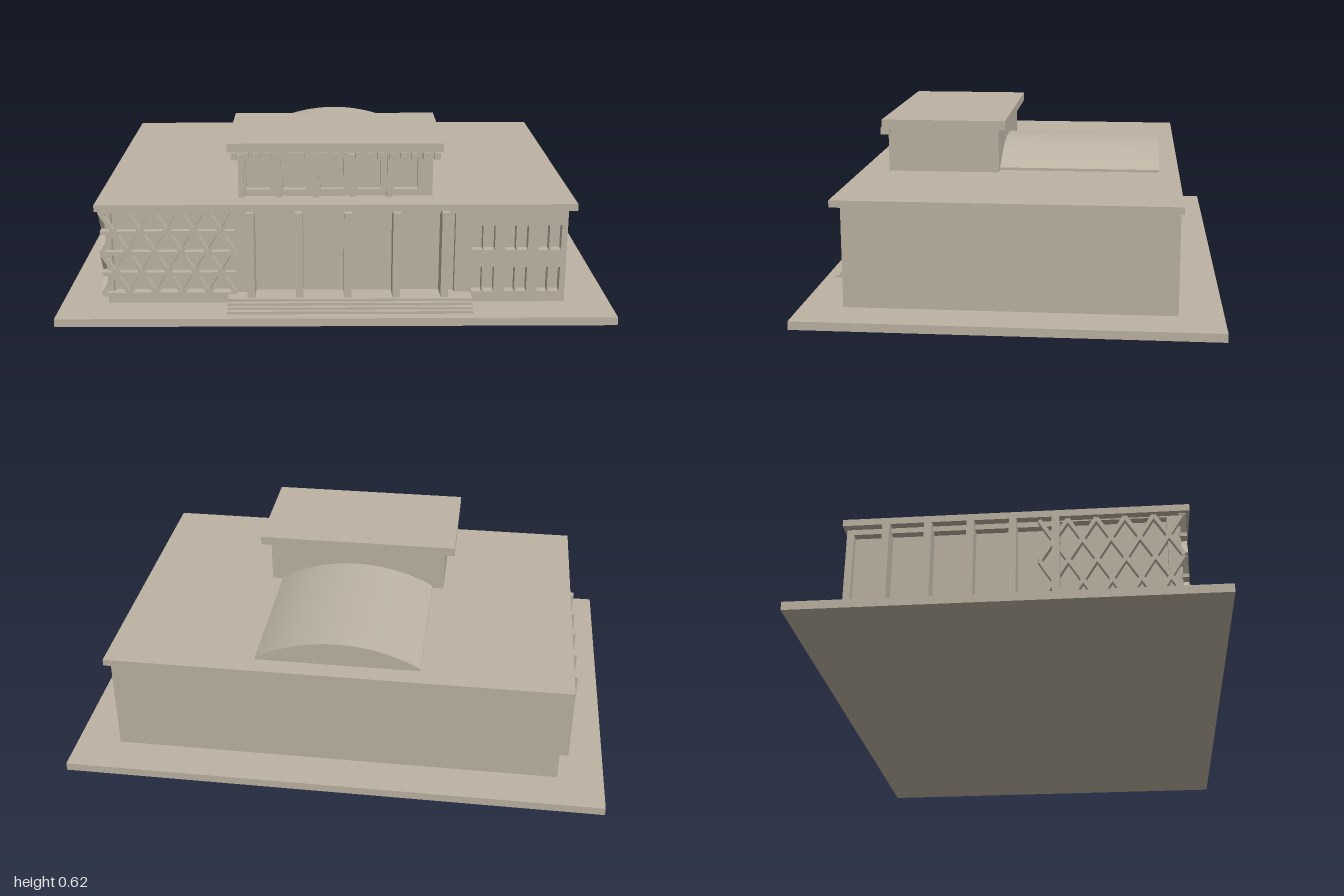
import * as THREE from 'three';

const stone = new THREE.MeshStandardMaterial({ color: 0xbcb3a3 });
stone.name = 'warm stone';

function add(parent, name, geometry) {
  const mesh = new THREE.Mesh(geometry, stone);
  mesh.name = name;
  parent.add(mesh);
  return mesh;
}

// Box given by its limits on each axis
function block(parent, name, x0, x1, y0, y1, z0, z1) {
  const mesh = add(parent, name, new THREE.BoxGeometry(x1 - x0, y1 - y0, z1 - z0));
  mesh.position.set((x0 + x1) / 2, (y0 + y1) / 2, (z0 + z1) / 2);
  return mesh;
}

// Wall slab with rectangular openings [x0, x1, y0, y1]
function piercedWall(parent, name, [x0, x1, y0, y1], openings, depth) {
  const corners = (a, b, c, d) => [[a, c], [b, c], [b, d], [a, d]].map(p => new THREE.Vector2(...p));
  const shape = new THREE.Shape(corners(x0, x1, y0, y1));
  for (const o of openings) shape.holes.push(new THREE.Path(corners(...o)));
  return add(parent, name, new THREE.ExtrudeGeometry(shape, { depth, bevelEnabled: false }));
}

// Lattice screen of mirrored zigzags, in the xy plane
function lattice(name, x0, x1, y0, y1, cols, rows, horizontals) {
  const screen = new THREE.Group();
  screen.name = name;
  const w = (x1 - x0) / (cols * 2), h = (y1 - y0) / rows;
  const bar = (ax, ay, bx, by) => {
    const m = add(screen, 'latticeBar', new THREE.BoxGeometry(Math.hypot(bx - ax, by - ay), 0.014, 0.024));
    m.position.set((ax + bx) / 2, (ay + by) / 2, 0);
    m.rotation.z = Math.atan2(by - ay, bx - ax);
  };
  for (let r = 0; r < rows; r++) {
    for (let k = 0; k < cols * 2; k++) {
      const up = (k + r) % 2;
      bar(x0 + k * w, y0 + (r + up) * h, x0 + (k + 1) * w, y0 + (r + 1 - up) * h);
    }
  }
  if (horizontals) for (let r = 0; r <= rows; r++) bar(x0, y0 + r * h, x1, y0 + r * h);
  return screen;
}

export function createModel() {
  const model = new THREE.Group();
  model.name = 'publicBuilding';

  // Ground slab, main hall and flat roof
  block(model, 'groundSlab', -1, 1, 0, 0.03, -0.73, 0.73);
  block(model, 'hallCore', -0.8, 0.835, 0.03, 0.39, -0.575, 0.545);
  block(model, 'mainRoof', -0.86, 0.86, 0.39, 0.415, -0.585, 0.613);

  // Front wall: screen bay, portico opening and paired windows
  const openings = [[-0.81, -0.37, 0.07, 0.385], [-0.295, 0.43, 0.065, 0.37]];
  for (let i = 0; i < 3; i++) {
    for (const dx of [0, 0.044]) {
      for (const y of [0.07, 0.23]) {
        const x = 0.493 + i * 0.12 + dx;
        openings.push([x, x + 0.037, y, y + 0.095]);
      }
    }
  }
  const front = piercedWall(model, 'frontWall', [-0.83, 0.835, 0.03, 0.39], openings, 0.035);
  front.position.z = 0.545;

  // Side wall with a long shallow opening behind the fins
  const side = piercedWall(model, 'sideWall', [-0.575, 0.545, 0.03, 0.39],
    [[-0.55, 0.14, 0.06, 0.37], [0.17, 0.535, 0.07, 0.385]], 0.03);
  side.rotation.y = -Math.PI / 2;
  side.position.x = -0.8;

  // Lattice screens meeting at the front corner
  const frontScreen = lattice('frontScreen', -0.845, -0.365, 0.07, 0.385, 5, 4, true);
  frontScreen.position.z = 0.588;
  const sideScreen = lattice('sideScreen', 0.1, 0.588, 0.07, 0.385, 5, 4, false);
  sideScreen.rotation.y = -Math.PI / 2;
  sideScreen.position.x = -0.838;
  model.add(frontScreen, sideScreen);

  // Portico columns and side fins
  for (let i = 0; i < 5; i++) {
    const x = -0.32 + i * 0.174;
    block(model, 'porticoColumn', x, x + 0.027, 0.03, 0.39, 0.545, 0.635);
    const z = -0.442 + i * 0.1465;
    block(model, 'sideFin', -0.875, -0.8, 0.03, 0.39, z, z + 0.025);
  }

  // Entrance landing and steps
  block(model, 'landing', -0.295, 0.43, 0.03, 0.07, 0.58, 0.633);
  for (let i = 0; i < 4; i++) {
    block(model, 'step', -0.39, 0.49, 0.03 + i * 0.01, 0.04 + i * 0.01, 0.58, 0.692 - i * 0.015);
  }

  // Upper storey with five recessed windows
  block(model, 'towerCore', -0.35, 0.35, 0.415, 0.585, 0.09, 0.485);
  const bays = [];
  for (let i = 0; i < 5; i++) {
    const x = -0.325 + i * 0.134;
    bays.push([x, x + 0.085, 0.44, 0.558]);
    block(model, 'towerFin', x - 0.027, x - 0.007, 0.415, 0.575, 0.505, 0.525);
  }
  const towerFront = piercedWall(model, 'towerFront', [-0.35, 0.35, 0.415, 0.585], bays, 0.022);
  towerFront.position.z = 0.485;
  block(model, 'towerRoof', -0.39, 0.386, 0.583, 0.616, 0.062, 0.525);

  // Dentils under the upper eave
  for (let i = 0; i < 19; i++) {
    const x = -0.377 + i * 0.0405;
    block(model, 'dentil', x, x + 0.022, 0.557, 0.583, 0.5, 0.533);
  }

  // Barrel vault behind the upper storey
  const half = 0.305, spring = 0.425, rise = 0.08;
  const radius = (half * half + rise * rise) / (2 * rise);
  const angle = Math.asin(half / radius);
  const profile = new THREE.Shape();
  profile.moveTo(-half, 0.41);
  profile.lineTo(half, 0.41);
  profile.lineTo(half, spring);
  profile.absarc(0, spring + rise - radius, radius, Math.PI / 2 - angle, Math.PI / 2 + angle, false);
  profile.lineTo(-half, 0.41);
  const vault = add(model, 'barrelVault',
    new THREE.ExtrudeGeometry(profile, { depth: 0.61, bevelEnabled: false, curveSegments: 32 }));
  vault.position.z = -0.51;

  return model;
}
